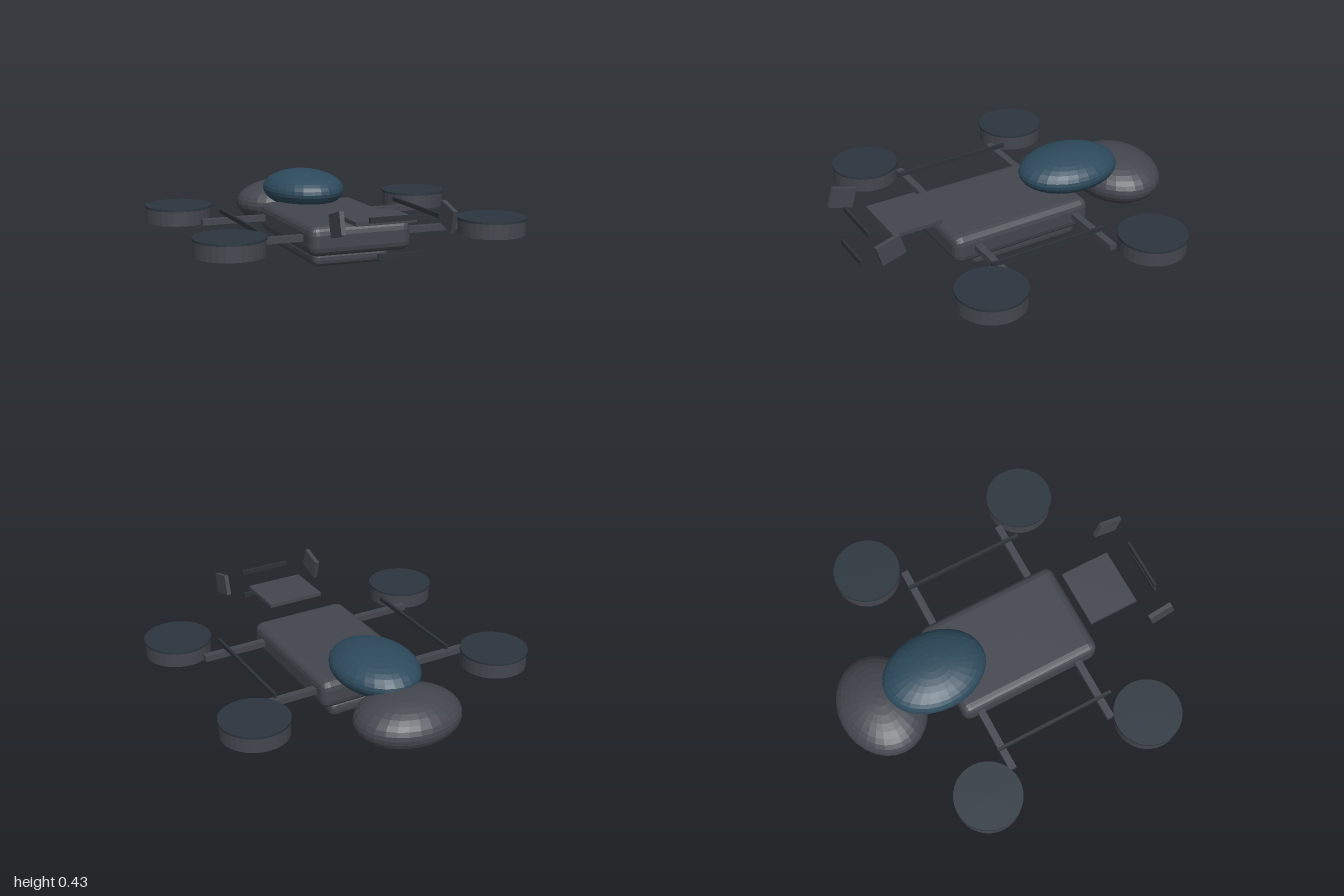
import * as THREE from 'three';
import { RoundedBoxGeometry } from 'three/addons/geometries/RoundedBoxGeometry.js';

const paint = (color) => new THREE.MeshStandardMaterial({ color, flatShading: true });

export function createModel() {
  const model = new THREE.Group();
  model.name = 'drone';
  const grey = paint(0x44464e);
  const dark = paint(0x2c3238);
  const disc = paint(0x2c363e);
  const blue = paint(0x2d4a5c);

  const add = (name, geometry, material, x, y, z) => {
    const mesh = new THREE.Mesh(geometry, material);
    mesh.name = name;
    mesh.position.set(x, y, z);
    model.add(mesh);
    return mesh;
  };
  const box = (name, size, material, x, y, z) =>
    add(name, new THREE.BoxGeometry(...size), material, x, y, z);
  const ellipsoid = (name, radii, material, x, y, z) =>
    add(name, new THREE.SphereGeometry(1, 28, 18).scale(...radii), material, x, y, z);

  // Fuselage and battery pack underneath
  add('body', new RoundedBoxGeometry(0.595, 0.17, 0.87, 2, 0.05), grey, 0, 0.173, 0.072);
  add('battery', new RoundedBoxGeometry(0.45, 0.09, 0.68, 2, 0.035), grey, 0, 0.045, 0.02);

  // Canopy and rear pod
  ellipsoid('canopy', [0.235, 0.115, 0.308], blue, 0, 0.318, -0.405);
  ellipsoid('rearPod', [0.308, 0.145, 0.252], grey, 0, 0.185, -0.748);

  for (const side of [-1, 1]) {
    // Arms with a motor drum and rotor disc at each corner
    for (const [armZ, rotorZ] of [[-0.263, -0.465], [0.37, 0.555]]) {
      box('arm', [0.48, 0.035, 0.042], grey, side * 0.44, 0.178, armZ);
      add('rotorDrum', new THREE.CylinderGeometry(0.19, 0.19, 0.085, 32), grey, side * 0.765, 0.2, rotorZ);
      add('rotorDisc', new THREE.CylinderGeometry(0.195, 0.195, 0.013, 32), disc, side * 0.765, 0.249, rotorZ);
    }

    // Side rail running fore and aft
    box('sideRail', [0.017, 0.025, 0.73], dark, side * 0.556, 0.232, 0.07);

    // Front fins, pitched opposite ways
    const fin = box('frontFin', [0.025, 0.12, 0.145], grey, side * 0.31, 0.346, 0.9);
    fin.rotation.x = side * 0.28;
  }

  // Nose plate and the two cross bars ahead of it
  box('nosePlate', [0.345, 0.022, 0.3], grey, 0, 0.322, 0.668);
  box('upperBar', [0.31, 0.028, 0.015], dark, 0, 0.365, 0.949);
  box('lowerBar', [0.255, 0.03, 0.015], dark, 0, 0.185, 0.992);

  return model;
}
